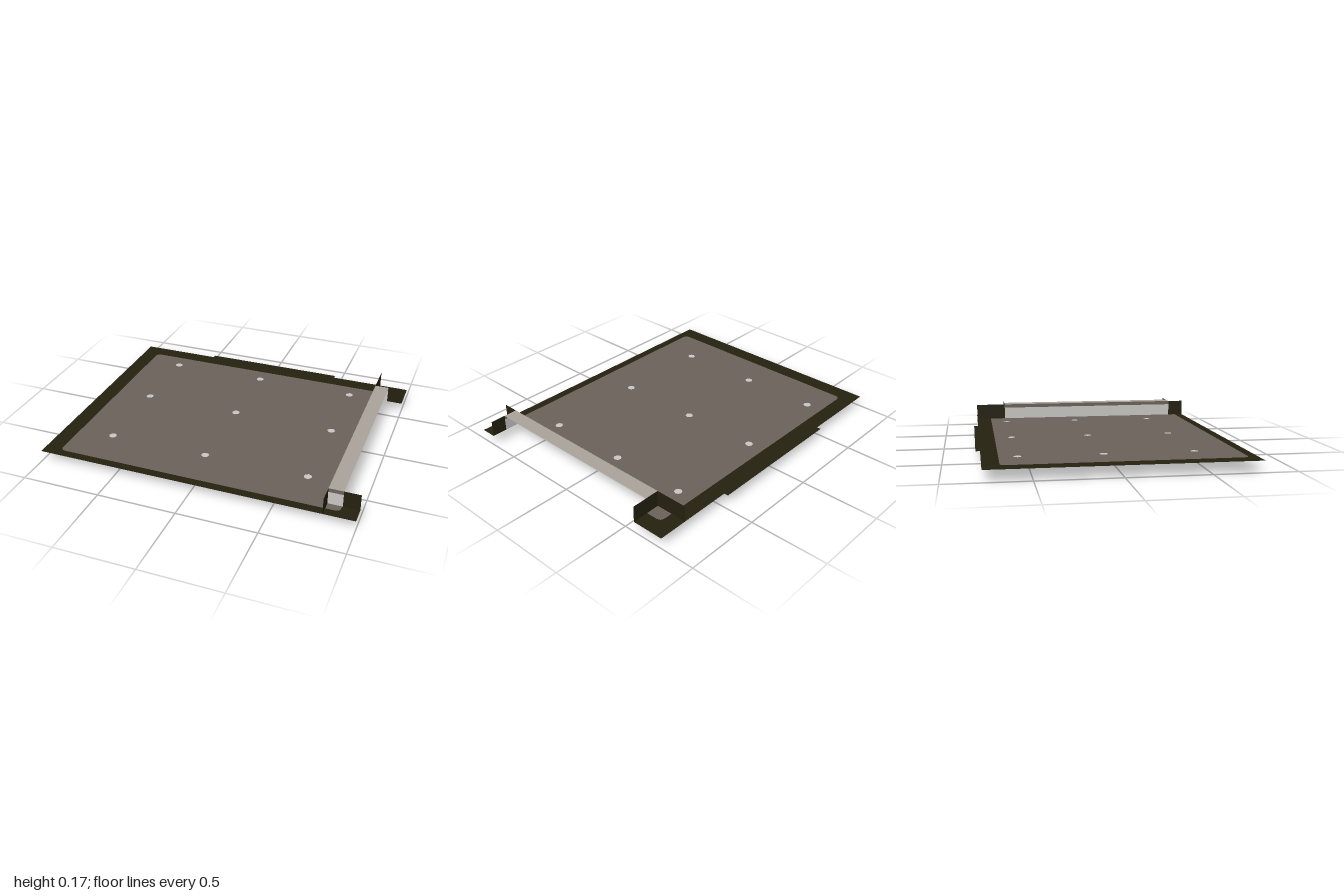
import * as THREE from 'three';

const flat = (name, color) => {
  const m = new THREE.MeshStandardMaterial({ color, side: THREE.DoubleSide });
  m.name = name;
  return m;
};

export function createModel() {
  const group = new THREE.Group();
  const dark = flat('dark border', 0x24210f);
  const brown = flat('grey brown panel', 0x6b625a);
  const light = flat('light grey', 0xc9c6c3);
  const beige = flat('pale taupe', 0xa9a39a);

  // Main levels of the folded sheet
  const FLOOR = 0.07, BAND = 0.15, TOP = 0.175;
  const WALL = 0.81, LIP = 0.9, BACK = -0.57, FRONT = 0.695;

  function add(name, geometry, material) {
    const mesh = new THREE.Mesh(geometry, material);
    mesh.name = name;
    group.add(mesh);
    return mesh;
  }
  // Shapes are drawn as (x, -z) and laid flat facing up
  function sheet(name, shape, material) {
    const mesh = add(name, new THREE.ShapeGeometry(shape, 4), material);
    mesh.rotation.x = -Math.PI / 2;
    mesh.position.y = FLOOR;
    return mesh;
  }
  // Upright sheet in the plane x = const
  function sideWall(name, x, z0, z1, y0, y1, material) {
    const mesh = add(name, new THREE.PlaneGeometry(z1 - z0, y1 - y0), material);
    mesh.rotation.y = Math.PI / 2;
    mesh.position.set(x, (y0 + y1) / 2, (z0 + z1) / 2);
  }
  // Upright sheet in the plane z = const
  function crossWall(name, z, x0, x1, y0, y1, material) {
    const mesh = add(name, new THREE.PlaneGeometry(x1 - x0, y1 - y0), material);
    mesh.position.set((x0 + x1) / 2, (y0 + y1) / 2, z);
  }

  // Panel outline: rounded corners, notched on the left side
  function panelPath(P) {
    const p = new P(), r = 0.035;
    const x0 = -0.895, x1 = LIP - 0.003, v0 = -0.745, v1 = 0.675;
    p.moveTo(x0 + r, v0);
    p.lineTo(x1 - r, v0);
    p.quadraticCurveTo(x1, v0, x1, v0 + r);
    p.lineTo(x1, -FRONT);
    p.lineTo(WALL, -FRONT);
    p.lineTo(WALL, -BACK);
    p.lineTo(x1, -BACK);
    p.lineTo(x1, v1 - r);
    p.quadraticCurveTo(x1, v1, x1 - r, v1);
    p.lineTo(x0 + r, v1);
    p.quadraticCurveTo(x0, v1, x0, v1 - r);
    p.lineTo(x0, v0 + r);
    p.quadraticCurveTo(x0, v0, x0 + r, v0);
    return p;
  }

  // Dark border: a C-shaped frame whose inner edge follows the panel
  const border = new THREE.Shape();
  const x1 = LIP - 0.003, r = 0.035;
  border.moveTo(-1, -0.8);
  border.lineTo(1, -0.8);
  border.lineTo(1, -FRONT);
  border.lineTo(x1, -FRONT);
  border.lineTo(x1, -0.745 + r);
  border.quadraticCurveTo(x1, -0.745, x1 - r, -0.745);
  border.lineTo(-0.895 + r, -0.745);
  border.quadraticCurveTo(-0.895, -0.745, -0.895, -0.745 + r);
  border.lineTo(-0.895, 0.675 - r);
  border.quadraticCurveTo(-0.895, 0.675, -0.895 + r, 0.675);
  border.lineTo(x1 - r, 0.675);
  border.quadraticCurveTo(x1, 0.675, x1, 0.675 - r);
  border.lineTo(x1, -BACK);
  border.lineTo(1, -BACK);
  border.lineTo(1, 0.775);
  border.lineTo(-1, 0.775);
  border.closePath();
  sheet('border', border, dark);

  // Panel with nine round spots let into it
  const panel = panelPath(THREE.Shape);
  for (const x of [-0.665, -0.025, 0.635]) {
    for (const z of [-0.565, -0.063, 0.483]) {
      const hole = new THREE.Path();
      hole.absarc(x, -z, 0.025, 0, Math.PI * 2, true);
      panel.holes.push(hole);
      const spot = new THREE.Shape();
      spot.absarc(x, -z, 0.025, 0, Math.PI * 2, false);
      sheet('spot', spot, light);
    }
  }
  sheet('panel', panel, brown);

  // Long upright wall with dark ends and a brown upper band
  sideWall('wallBackEnd', WALL, -0.775, BACK, FLOOR, TOP, dark);
  sideWall('wallFrontEnd', WALL, FRONT, 0.8, FLOOR, TOP, dark);
  sideWall('wallFace', WALL, BACK, FRONT, FLOOR, BAND, light);
  sideWall('wallBand', WALL, BACK, FRONT, BAND, TOP, brown);

  // Cross walls closing both ends of the channel
  crossWall('frontCrossFace', FRONT, WALL, LIP, FLOOR, BAND, light);
  crossWall('frontCrossBand', FRONT, WALL, LIP, BAND, TOP, brown);
  crossWall('frontCrossEnd', FRONT, LIP, 1, FLOOR, TOP, dark);
  crossWall('backCross', BACK, WALL, 1, FLOOR, TOP, dark);
  crossWall('backCrossFace', BACK + 0.003, WALL, LIP, FLOOR, BAND, light);
  crossWall('backCrossBand', BACK + 0.003, WALL, LIP, BAND, TOP, brown);

  // Narrow roof over the channel
  const roof = add('channelRoof', new THREE.PlaneGeometry(LIP - WALL, FRONT - BACK), beige);
  roof.rotation.x = -Math.PI / 2;
  roof.position.set((WALL + LIP) / 2, TOP, (FRONT + BACK) / 2);

  // Back flap and the rib hanging beneath it
  const flap = add('backFlap', new THREE.PlaneGeometry(0.945, 0.027), dark);
  flap.rotation.x = -Math.PI / 2;
  flap.position.set(0, FLOOR, -0.7885);
  const rib = add('backRib', new THREE.BoxGeometry(0.945, FLOOR - 0.001, 0.02), dark);
  rib.position.set(0, (FLOOR - 0.001) / 2, -0.682);

  return group;
}
